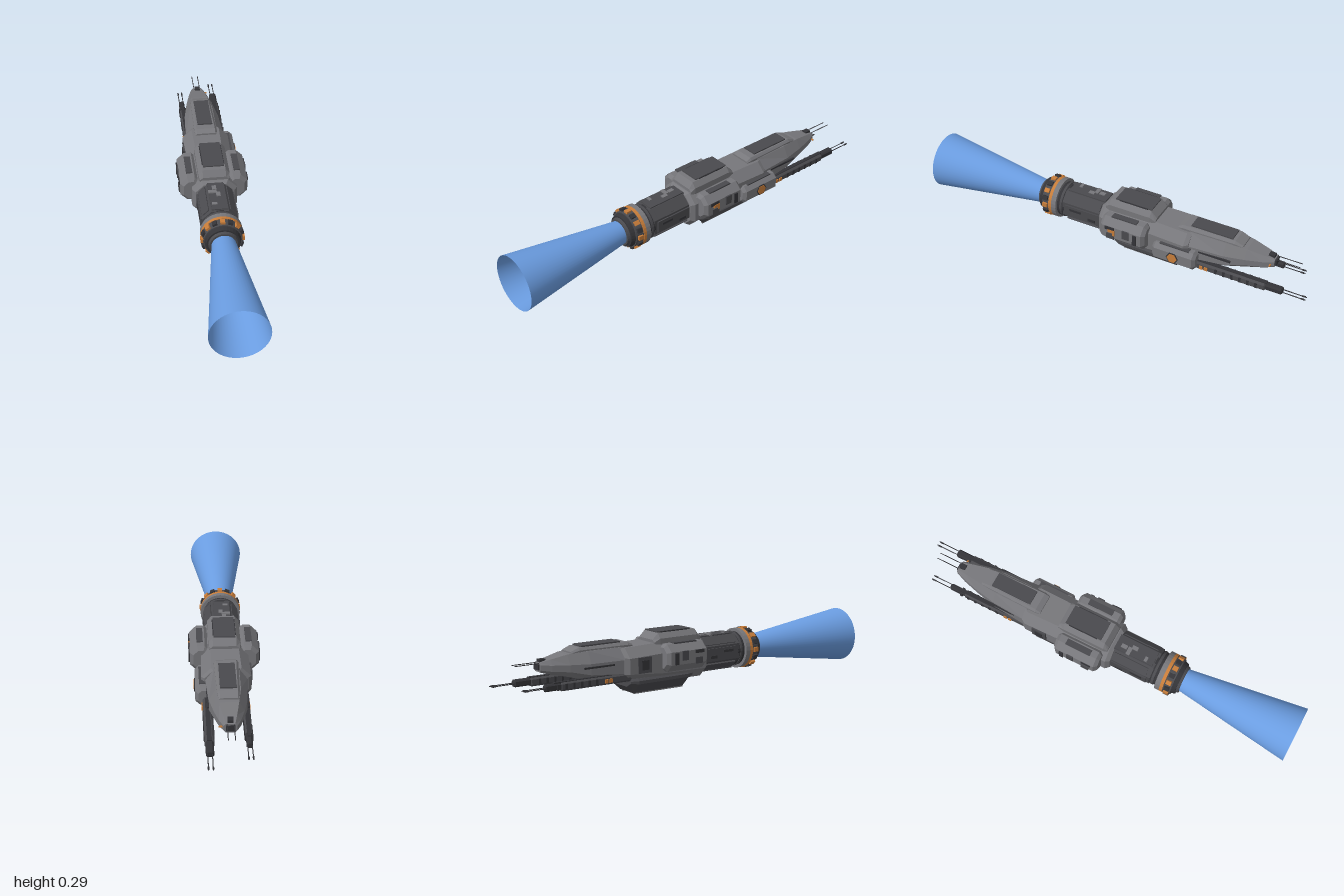
import * as THREE from 'three';

const mat = (name, color, extra = {}) => {
  const m = new THREE.MeshStandardMaterial({ color, ...extra });
  m.name = name;
  return m;
};

export function createModel() {
  const ship = new THREE.Group();
  ship.name = 'spaceship';
  const grey = mat('hull grey', 0x77777b, { flatShading: true });
  const dark = mat('dark plating', 0x4a4a4e, { flatShading: true });
  const black = mat('gunmetal', 0x343438, { flatShading: true });
  const orange = mat('orange marking', 0xc87d3a, { flatShading: true });
  const blue = mat('exhaust blue', 0x6a9ce0, { side: THREE.DoubleSide });
  const axisY = 0.146;

  const add = (name, geo, material, x = 0, y = 0, z = 0) => {
    const m = new THREE.Mesh(geo, material);
    m.name = name;
    m.position.set(x, y, z);
    ship.add(m);
    return m;
  };
  // box from its centre and size
  const box = (name, material, x, y, z, w, h, d) =>
    add(name, new THREE.BoxGeometry(w, h, d), material, x, y, z);

  // chamfered octagon outline, counter-clockwise seen from +z
  // section: [z, centreX, halfWidth, bottom, top, bottomCutX, bottomCutY, topCutX, topCutY]
  const ring = ([z, cx, w, b, t, bx, by, tx = bx, ty = by]) => [
    [w, b + by], [w, t - ty], [w - tx, t], [tx - w, t],
    [-w, t - ty], [-w, b + by], [bx - w, b], [w - bx, b],
  ].map(([x, y]) => [cx + x, y, z]);

  // skin octagon sections, listed from +z to -z, and cap the ends
  const loft = (name, material, sections) => {
    const rings = sections.map(ring), pos = [];
    for (let i = 0; i < rings.length - 1; i++) {
      const p = rings[i], q = rings[i + 1];
      for (let j = 0; j < 8; j++) {
        const k = (j + 1) % 8;
        pos.push(...p[j], ...q[j], ...p[k], ...p[k], ...q[j], ...q[k]);
      }
    }
    const first = rings[0], last = rings[rings.length - 1];
    for (let j = 1; j < 7; j++) {
      pos.push(...first[0], ...first[j], ...first[j + 1]);
      pos.push(...last[0], ...last[j + 1], ...last[j]);
    }
    const g = new THREE.BufferGeometry();
    g.setAttribute('position', new THREE.Float32BufferAttribute(pos, 3));
    g.computeVertexNormals();
    return add(name, g, material);
  };
  // octagonal pod with bevelled ends
  const pod = (name, material, cx, w, b, t, z1, z0, cut, end) => loft(name, material, [
    [z1, cx, w - end, b + end, t - end, cut * 0.7, cut * 0.7],
    [z1 - end, cx, w, b, t, cut, cut],
    [z0 + end, cx, w, b, t, cut, cut],
    [z0, cx, w - end, b + end, t - end, cut * 0.7, cut * 0.7],
  ]);
  // cylinder or cone along z
  const drum = (name, material, r1, r0, z1, z0, sides = 32, open = false, x = 0, y = axisY) => {
    const g = new THREE.CylinderGeometry(r1, r0, z1 - z0, sides, 1, open).rotateX(Math.PI / 2);
    return add(name, g, material, x, y, (z1 + z0) / 2);
  };

  // exhaust plume and engine
  drum('exhaustPlume', blue, 0.136, 0.056, 1, 0.41, 48, true);
  drum('nozzleLip', dark, 0.066, 0.072, 0.418, 0.4);
  drum('nozzle', black, 0.078, 0.088, 0.405, 0.375);
  drum('engineRing', dark, 0.09, 0.096, 0.385, 0.345);
  drum('engineStripe', orange, 0.099, 0.099, 0.346, 0.33);
  drum('engineCollar', grey, 0.099, 0.099, 0.33, 0.305);
  drum('engineNeck', black, 0.084, 0.084, 0.305, 0.265);
  drum('neckBand', dark, 0.087, 0.087, 0.29, 0.278);
  for (let i = 0; i < 16; i++) {
    const a = (i / 16) * Math.PI * 2;
    const clamp = box('engineClamp', i % 2 ? black : orange,
      Math.cos(a) * 0.096, axisY + Math.sin(a) * 0.096, 0.365, 0.012, 0.022, 0.026);
    clamp.rotation.z = a;
  }

  // rear fuselage with panels
  loft('rearFuselage', dark, [
    [0.272, 0, 0.083, 0.07, 0.228, 0.042, 0.042],
    [0.04, 0, 0.083, 0.07, 0.228, 0.042, 0.042],
  ]);
  for (const s of [-1, 1]) {
    box('fuselageSidePanel', dark, s * 0.084, axisY, 0.16, 0.01, 0.06, 0.19);
    box('fuselageSlot', black, s * 0.09, axisY + 0.012, 0.2, 0.004, 0.012, 0.06);
    box('fuselageSlot', black, s * 0.09, axisY - 0.012, 0.11, 0.004, 0.014, 0.04);
    for (const v of [-1, 1]) {
      const p = box('fuselageCornerPanel', dark, s * 0.064, axisY + v * 0.06, 0.16, 0.04, 0.008, 0.18);
      p.rotation.z = -s * v * Math.PI / 4;
    }
  }
  for (const v of [-1, 1]) box('fuselageDeckPanel', dark, 0, axisY + v * 0.083, 0.16, 0.075, 0.009, 0.2);
  for (const [x, z, w, d] of [[-0.02, 0.13, 0.04, 0.02], [0.005, 0.15, 0.02, 0.03], [-0.01, 0.1, 0.02, 0.03], [-0.02, 0.22, 0.025, 0.015]])
    box('fuselageHatch', grey, x, 0.234, z, w, 0.008, d);

  // main hull
  loft('mainHull', grey, [
    [0.064, 0, 0.093, 0.06, 0.225, 0.04, 0.04],
    [0.045, 0, 0.108, 0.048, 0.235, 0.045, 0.045],
    [-0.2, 0, 0.11, 0.052, 0.237, 0.045, 0.045],
    [-0.39, 0, 0.114, 0.068, 0.232, 0.045, 0.045],
    [-0.41, 0, 0.1, 0.074, 0.23, 0.04, 0.04],
  ]);
  loft('forwardHull', grey, [
    [-0.4, 0, 0.097, 0.076, 0.236, 0.04, 0.04, 0.04, 0.055],
    [-0.58, 0, 0.086, 0.1, 0.236, 0.035, 0.03, 0.03, 0.055],
    [-0.68, 0, 0.068, 0.128, 0.23, 0.025, 0.025, 0.025, 0.045],
    [-0.76, 0, 0.048, 0.145, 0.214, 0.018, 0.016, 0.018, 0.025],
    [-0.81, 0, 0.03, 0.16, 0.203, 0.01, 0.01],
  ]);

  // upper decks
  loft('topDeckHouse', grey, [
    [0.04, 0, 0.07, 0.22, 0.25, 0.001, 0.001, 0.015, 0.012],
    [0.018, 0, 0.075, 0.22, 0.28, 0.001, 0.001, 0.02, 0.025],
    [-0.195, 0, 0.075, 0.22, 0.28, 0.001, 0.001, 0.02, 0.025],
    [-0.225, 0, 0.07, 0.22, 0.25, 0.001, 0.001, 0.015, 0.012],
  ]);
  box('topDeckPanel', dark, 0, 0.281, -0.1, 0.1, 0.009, 0.19);
  for (const s of [-1, 1]) box('topDeckRail', black, s * 0.051, 0.281, -0.1, 0.006, 0.007, 0.15);
  loft('forwardDeck', grey, [
    [-0.335, 0, 0.052, 0.225, 0.242, 0.001, 0.001, 0.006, 0.006],
    [-0.36, 0, 0.056, 0.225, 0.254, 0.001, 0.001, 0.01, 0.012],
    [-0.62, 0, 0.05, 0.225, 0.254, 0.001, 0.001, 0.01, 0.012],
    [-0.66, 0, 0.044, 0.222, 0.238, 0.001, 0.001, 0.006, 0.006],
  ]);
  box('forwardDeckPanel', dark, 0, 0.256, -0.5, 0.074, 0.009, 0.21);

  // belly tray
  loft('bellyTray', dark, [
    [-0.02, 0, 0.092, 0.046, 0.085, 0.035, 0.02, 0.01, 0.01],
    [-0.05, 0, 0.102, 0.01, 0.085, 0.05, 0.05, 0.01, 0.01],
    [-0.335, 0, 0.106, 0.01, 0.085, 0.05, 0.05, 0.01, 0.01],
    [-0.375, 0, 0.095, 0.046, 0.085, 0.035, 0.02, 0.01, 0.01],
  ]);
  box('bellyPanel', black, 0, 0.009, -0.19, 0.06, 0.008, 0.27);
  for (const s of [-1, 1]) box('bellyRail', grey, s * 0.045, 0.009, -0.19, 0.012, 0.01, 0.28);
  for (let i = 0; i < 4; i++) box('bellyHatch', dark, (i % 2 ? 1 : -1) * 0.012, 0.005, -0.09 - i * 0.065, 0.03, 0.01, 0.035);

  // side pods with fittings
  for (const s of [-1, 1]) {
    pod('sidePod', grey, s * 0.11, 0.052, 0.105, 0.235, 0.025, -0.208, 0.034, 0.016);
    box('podUpperVent', black, s * 0.163, 0.193, -0.03, 0.008, 0.016, 0.05);
    box('podLowerVent', dark, s * 0.163, 0.15, -0.035, 0.008, 0.03, 0.04);
    box('podHatch', dark, s * 0.163, 0.18, -0.115, 0.01, 0.045, 0.035);
    box('podLocker', black, s * 0.163, 0.168, -0.162, 0.01, 0.055, 0.02);
    box('podTopPanel', dark, s * 0.115, 0.236, -0.09, 0.03, 0.008, 0.13);
  }
  box('podMarking', orange, 0.164, 0.18, -0.04, 0.008, 0.016, 0.035);
  box('podMarking', orange, 0.164, 0.165, -0.052, 0.008, 0.016, 0.012);

  // forward pod with hexagonal badge plate on one side, hatch on the other
  pod('forwardPod', grey, 0.095, 0.048, 0.075, 0.17, -0.24, -0.462, 0.022, 0.014);
  for (const [r, m, x] of [[0.031, black, 0.143], [0.026, orange, 0.145]]) {
    const hex = add('hexPlate', new THREE.CylinderGeometry(r, r, 0.006, 6), m, x, 0.122, -0.35);
    hex.rotation.z = Math.PI / 2;
  }
  box('forwardPodTopPanel', dark, 0.11, 0.17, -0.35, 0.03, 0.006, 0.15);
  box('sideHatch', dark, -0.114, 0.15, -0.31, 0.012, 0.075, 0.075);
  box('sideHatchInset', black, -0.12, 0.15, -0.31, 0.006, 0.045, 0.04);
  for (const s of [-1, 1]) box('hullSeam', black, s * 0.09, 0.165, -0.54, 0.009, 0.008, 0.16);

  // long guns under each flank
  for (const [x, tip, muzzle] of [[0.09, -0.885, -0.998], [-0.082, -0.825, -0.93]]) {
    const w = x > 0 ? 0.021 : 0.016, back = -0.37;
    pod('gunHousing', dark, x, w, 0.078, 0.118, back, tip + 0.08, 0.008, 0.006);
    pod('gunHead', black, x, w * 0.85, 0.084, 0.116, tip + 0.085, tip, 0.007, 0.005);
    box('gunTopRail', black, x, 0.118, (back + tip) / 2, w, 0.006, 0.36);
    for (let i = 0; i < 6; i++) box('gunRib', black, x, 0.098, -0.56 - i * 0.04, w * 2 + 0.005, 0.026, 0.012);
    for (const s of [-1, 1]) {
      drum('gunBarrel', black, 0.0022, 0.0022, tip + 0.01, muzzle, 8, false, x + s * 0.01, 0.1);
      drum('gunMuzzle', black, 0.004, 0.004, muzzle + 0.022, muzzle + 0.006, 8, false, x + s * 0.01, 0.1);
    }
    const out = x + Math.sign(x) * (w + 0.002);
    box('gunMarking', orange, out, 0.096, -0.485, 0.006, 0.018, 0.016);
    box('gunMarking', orange, out, 0.096, -0.51, 0.006, 0.018, 0.016);
  }

  // nose fittings
  box('noseBlock', black, 0, 0.183, -0.805, 0.04, 0.026, 0.025);
  box('noseSensor', black, 0, 0.21, -0.79, 0.026, 0.014, 0.03);
  box('noseProbe', orange, 0.036, 0.18, -0.795, 0.03, 0.006, 0.006);
  for (const s of [-1, 1]) drum('noseBarrel', black, 0.002, 0.002, -0.8, -0.93, 8, false, s * 0.015, 0.2);

  return ship;
}
